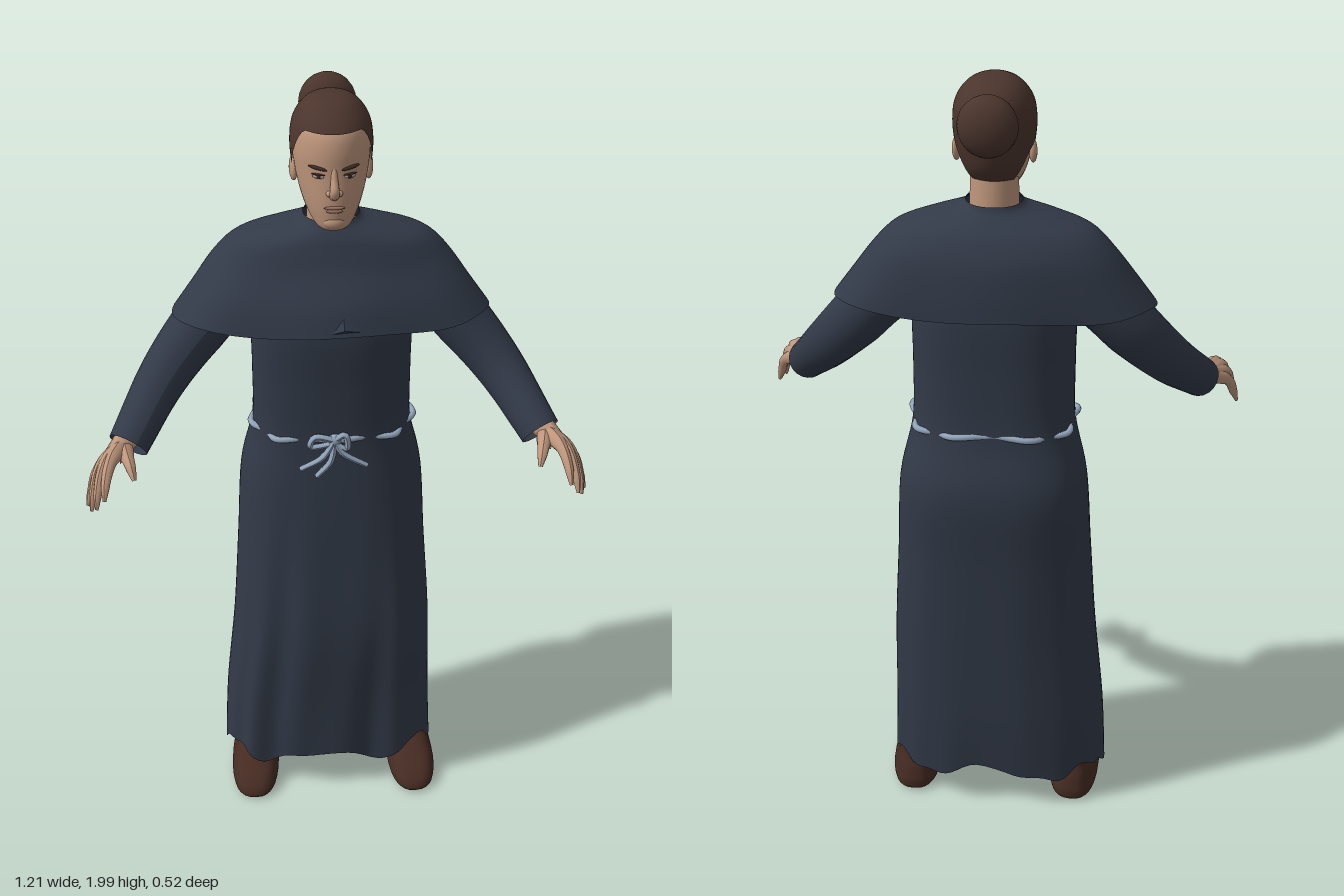
import * as THREE from 'three';
import { ConvexGeometry } from 'three/addons/geometries/ConvexGeometry.js';

const mat = (name, color, side = THREE.FrontSide) => {
  const m = new THREE.MeshStandardMaterial({ color, side });
  m.name = name;
  return m;
};
const V = (x, y, z) => new THREE.Vector3(x, y, z);

// Catmull-Rom sample of a list of rings [y, halfWidth, zFront, zBack, centreX]
function ringAt(rings, t) {
  const n = rings.length - 1, i = Math.min(Math.floor(t), n - 1), f = t - i;
  const at = (k, c) => rings[Math.max(0, Math.min(n, k))][c] ?? 0;
  return [0, 1, 2, 3, 4].map((c) => {
    const a = at(i - 1, c), b = at(i, c), d = at(i + 1, c), e = at(i + 2, c);
    return b + 0.5 * f * (d - a + f * (2 * a - 5 * b + 4 * d - e + f * (3 * (b - d) + e - a)));
  });
}

// Point on a ring; a power below 1 makes the oval boxier
function ringPoint(rings, t, a, power = 1, grow = 1) {
  const [y, w, zf, zb, cx] = ringAt(rings, t);
  const bend = (v) => Math.sign(v) * Math.abs(v) ** power;
  return V(cx + w * grow * bend(Math.sin(a)), y, (zf + zb) / 2 + ((zf - zb) / 2) * grow * bend(Math.cos(a)));
}

// Closed surface around the y axis from point(angle, v), v running upwards from 0 to 1
function loft(point, sides, rows) {
  const pos = [], idx = [];
  for (let i = 0; i <= rows; i++) {
    for (let j = 0; j < sides; j++) {
      pos.push(...point((j / sides) * Math.PI * 2, i / rows).toArray());
      if (i === rows) continue;
      const a = i * sides + j, b = i * sides + ((j + 1) % sides);
      idx.push(a, b, b + sides, a, b + sides, a + sides);
    }
  }
  const g = new THREE.BufferGeometry();
  g.setAttribute('position', new THREE.Float32BufferAttribute(pos, 3));
  g.setIndex(idx);
  g.computeVertexNormals();
  return g;
}
const ringLoft = (rings, sides, power = 1, sub = 4) =>
  loft((a, v) => ringPoint(rings, v * (rings.length - 1), a, power), sides, (rings.length - 1) * sub);

// Tube whose radius follows a list
function taperTube(points, radii, sides = 10, segs = 20) {
  const path = new THREE.CatmullRomCurve3(points);
  const g = new THREE.TubeGeometry(path, segs, 1, sides, false);
  const p = g.attributes.position, v = new THREE.Vector3();
  for (let i = 0; i < p.count; i++) {
    const u = Math.floor(i / (sides + 1)) / segs, c = path.getPointAt(u);
    const k = u * (radii.length - 1), n = Math.min(Math.floor(k), radii.length - 2);
    const r = THREE.MathUtils.lerp(radii[n], radii[n + 1], k - n);
    v.fromBufferAttribute(p, i).sub(c).multiplyScalar(r).add(c);
    p.setXYZ(i, v.x, v.y, v.z);
  }
  g.computeVertexNormals();
  return g;
}

const HEAD = [
  [1.715, 0, 0.02, 0.02], [1.718, 0.034, 0.047, -0.02], [1.745, 0.057, 0.054, -0.09], [1.79, 0.075, 0.055, -0.145],
  [1.85, 0.087, 0.049, -0.166], [1.9, 0.09, 0.047, -0.175], [1.942, 0.083, 0.034, -0.172],
  [1.972, 0.06, 0, -0.145], [1.986, 0.03, -0.035, -0.105], [1.989, 0, -0.07, -0.07],
];
const ROBE = [
  [0.115, 0.288, 0.085, -0.205, -0.012], [0.3, 0.278, 0.092, -0.222, -0.01], [0.55, 0.262, 0.1, -0.235],
  [0.8, 0.245, 0.083, -0.247], [1.0, 0.232, 0.068, -0.258], [1.15, 0.2, 0.058, -0.222],
  [1.3, 0.196, 0.064, -0.215], [1.48, 0.195, 0.07, -0.215], [1.6, 0.17, 0.015, -0.18],
];
const CAPE = [
  [1.465, 0.385, 0.1, -0.24], [1.53, 0.337, 0.08, -0.236], [1.6, 0.285, 0.042, -0.224],
  [1.65, 0.234, 0.022, -0.198], [1.675, 0.165, 0.012, -0.174], [1.697, 0.085, -0.002, -0.15], [1.712, 0.066, -0.01, -0.142],
];
const NECK = [[1.64, 0.065, -0.01, -0.14], [1.7, 0.058, -0.012, -0.138], [1.79, 0.056, -0.01, -0.13]];
const BOOT = [
  [0.008, 0, -0.02, -0.02], [0.008, 0.054, 0.112, -0.15], [0.03, 0.066, 0.126, -0.168], [0.058, 0.06, 0.098, -0.165],
  [0.085, 0.052, 0.03, -0.158], [0.12, 0.043, -0.025, -0.145], [0.22, 0.036, -0.05, -0.13],
];

export function createModel() {
  const model = new THREE.Group();
  const cloth = mat('dark cloth', 0x323a48, THREE.DoubleSide);
  const skin = mat('skin', 0xbd957b);
  const hair = mat('brown hair', 0x4b352d, THREE.DoubleSide);
  const leather = mat('boot leather', 0x452b22);
  const cord = mat('grey cord', 0x93a5bb);
  const lip = mat('lips', 0x9a6f60);
  const white = mat('eye white', 0xaea298);
  const dark = mat('dark brown', 0x3a2a24);
  const add = (name, geometry, material, x = 0, y = 0, z = 0) => {
    const m = new THREE.Mesh(geometry, material);
    m.name = name;
    m.position.set(x, y, z);
    model.add(m);
    return m;
  };
  const blob = (name, material, at, size) => {
    const m = add(name, new THREE.SphereGeometry(1, 18, 12), material, ...at);
    m.scale.set(...size);
    return m;
  };

  // Robe with uneven folds that deepen towards a wavy hem
  add('robe', loft((a, v) => {
    const p = ringPoint(ROBE, v * (ROBE.length - 1), a, 0.8);
    const low = THREE.MathUtils.clamp((1.05 - p.y) / 0.9, 0, 1);
    const front = 0.5 + 0.5 * Math.cos(a);
    const fold = 1 + low * (0.25 + 1.3 * front) * (0.035 * Math.cos(9 * a + 0.6 + p.y) + 0.022 * Math.sin(14 * a - 2 * p.y));
    p.x *= 1 + (fold - 1) * 0.4;
    p.z = (p.z + 0.07) * fold - 0.07;
    p.y += Math.max(0, 1 - v * 8) * (0.02 * Math.sin(6 * a + 2) + 0.008 * Math.sin(13 * a));
    return p;
  }, 112, 56), cloth);

  // Shoulder cape with a slightly wavy hem
  add('shoulderCape', loft((a, v) => {
    const p = ringPoint(CAPE, v * (CAPE.length - 1), a, 0.92);
    const low = Math.max(0, 1 - v * 2.5);
    p.y += low * 0.004 * Math.sin(6 * a + 1);
    p.z += low * 0.005 * Math.cos(7 * a);
    return p;
  }, 72, 28), cloth);
  add('capeFold', new ConvexGeometry([
    V(-0.03, 1.468, 0.095), V(0.09, 1.475, 0.09), V(0.02, 1.525, 0.08), V(0.02, 1.49, 0.11), V(0.02, 1.47, 0.08),
  ]), cloth);

  // Cord belt that sinks into the cloth in places
  const loop = Array.from({ length: 80 }, (_, i) => {
    const a = (i / 80) * Math.PI * 2;
    const p = ringPoint(ROBE, 5, a, 0.8, 0.985 + 0.05 * Math.sin(a * 9 + 1.2));
    p.y += 0.006 + 0.005 * Math.cos(a * 4);
    return p;
  });
  add('cordBelt', new THREE.TubeGeometry(new THREE.CatmullRomCurve3(loop, true), 200, 0.008, 8, true), cord);
  blob('cordKnot', cord, [0, 1.162, 0.066], [0.017, 0.017, 0.013]);
  [
    [V(0, 1.165, 0.07), V(-0.03, 1.12, 0.077), V(-0.085, 1.085, 0.074)],
    [V(0, 1.16, 0.07), V(-0.01, 1.11, 0.079), V(-0.045, 1.065, 0.078)],
    [V(0, 1.16, 0.07), V(0.02, 1.13, 0.077), V(0.08, 1.09, 0.074)],
    [V(0, 1.165, 0.07), V(-0.05, 1.175, 0.072), V(-0.06, 1.15, 0.073), V(0, 1.155, 0.07)],
    [V(0, 1.165, 0.07), V(0.025, 1.18, 0.072), V(0.03, 1.14, 0.073), V(0, 1.155, 0.07)],
  ].forEach((pts) => add('cordStrand', taperTube(pts, [0.008, 0.008, 0.007], 8), cord));

  // Head, neck and hair
  add('neck', ringLoft(NECK, 28), skin);
  add('head', ringLoft(HEAD, 40), skin);
  add('hairCap', loft((a, v) => {
    const b = Math.min(a, Math.PI * 2 - a), step = THREE.MathUtils.smoothstep;
    const line = 6 - 2.1 * step(b, 0.75, 1.5) - 1.75 * step(b, 1.8, 2.7);
    const t = line + (HEAD.length - 1 - line) * v;
    const p = ringPoint(HEAD, t, a, 1, 1.06);
    p.y += 0.011 * step(t, 5, 8);
    return p;
  }, 64, 24), hair);
  blob('hairBun', hair, [0, 1.925, -0.217], [0.068, 0.07, 0.046]);
  add('bunTie', new THREE.TorusGeometry(0.036, 0.012, 10, 24), hair, 0, 1.922, -0.178);

  // Face: nose as a tapered ridge running into its tip and wings
  add('nose', taperTube([V(0, 1.868, 0.042), V(0, 1.84, 0.053), V(0, 1.815, 0.063), V(0, 1.805, 0.05)],
    [0.006, 0.008, 0.011, 0.012], 12), skin);
  blob('upperLip', lip, [0, 1.777, 0.055], [0.024, 0.004, 0.005]);
  blob('lowerLip', lip, [0, 1.769, 0.055], [0.019, 0.005, 0.005]);
  blob('chin', skin, [0, 1.737, 0.04], [0.026, 0.018, 0.018]);

  for (const s of [1, -1]) {
    const side = s > 0 ? 'left' : 'right';
    blob(side + 'NoseWing', skin, [s * 0.012, 1.811, 0.053], [0.007, 0.007, 0.009]);
    blob(side + 'EyeWhite', white, [s * 0.036, 1.848, 0.0405], [0.014, 0.005, 0.004]).rotation.y = s * 0.42;
    blob(side + 'Iris', dark, [s * 0.035, 1.848, 0.043], [0.006, 0.005, 0.003]).rotation.y = s * 0.42;
    blob(side + 'Eyelid', dark, [s * 0.036, 1.853, 0.041], [0.017, 0.002, 0.004]).rotation.y = s * 0.42;
    blob(side + 'Brow', dark, [s * 0.037, 1.868, 0.04], [0.023, 0.004, 0.005]).rotation.set(0, s * 0.42, s * 0.14);
    blob(side + 'Ear', skin, [s * 0.087, 1.825, -0.068], [0.01, 0.03, 0.018]).rotation.set(-0.2, s * -0.2, 0);

    // Sleeve, bent forward at the elbow
    const P = (x, y, z) => V(s * x, y, z);
    add(side + 'Sleeve', taperTube([
      P(0.15, 1.545, -0.1), P(0.25, 1.485, -0.1), P(0.335, 1.395, -0.08), P(0.417, 1.3, -0.025), P(0.502, 1.19, 0.1),
    ], [0.065, 0.074, 0.072, 0.064, 0.056, 0.05], 20, 32), cloth);

    // Hand: the finger tubes start at the wrist and merge into the palm
    add(side + 'Wrist', taperTube([P(0.47, 1.235, 0.055), P(0.515, 1.198, 0.108), P(0.54, 1.182, 0.145)],
      [0.026, 0.029, 0.024], 12), skin);
    [
      [P(0.54, 1.195, 0.182), P(0.551, 1.168, 0.228), P(0.555, 1.135, 0.258)],
      [P(0.555, 1.187, 0.182), P(0.571, 1.145, 0.224), P(0.576, 1.105, 0.247)],
      [P(0.567, 1.173, 0.173), P(0.584, 1.126, 0.207), P(0.591, 1.085, 0.222)],
      [P(0.575, 1.156, 0.158), P(0.592, 1.113, 0.181), P(0.602, 1.082, 0.193)],
    ].forEach((f) => add(side + 'Finger', taperTube([P(0.513, 1.198, 0.105), ...f],
      [0.02, 0.02, 0.019, 0.014, 0.012, 0.01, 0.004], 10, 24), skin));
    add(side + 'Thumb', taperTube([P(0.512, 1.195, 0.11), P(0.502, 1.192, 0.155), P(0.493, 1.185, 0.19), P(0.484, 1.165, 0.22)],
      [0.02, 0.02, 0.015, 0.012, 0.005], 10), skin);

    // Boot, toe turned slightly out
    add(side + 'Boot', ringLoft(BOOT, 32, 0.75), leather, s * 0.222, 0, 0).rotation.y = s * 0.04;
  }
  return model;
}
